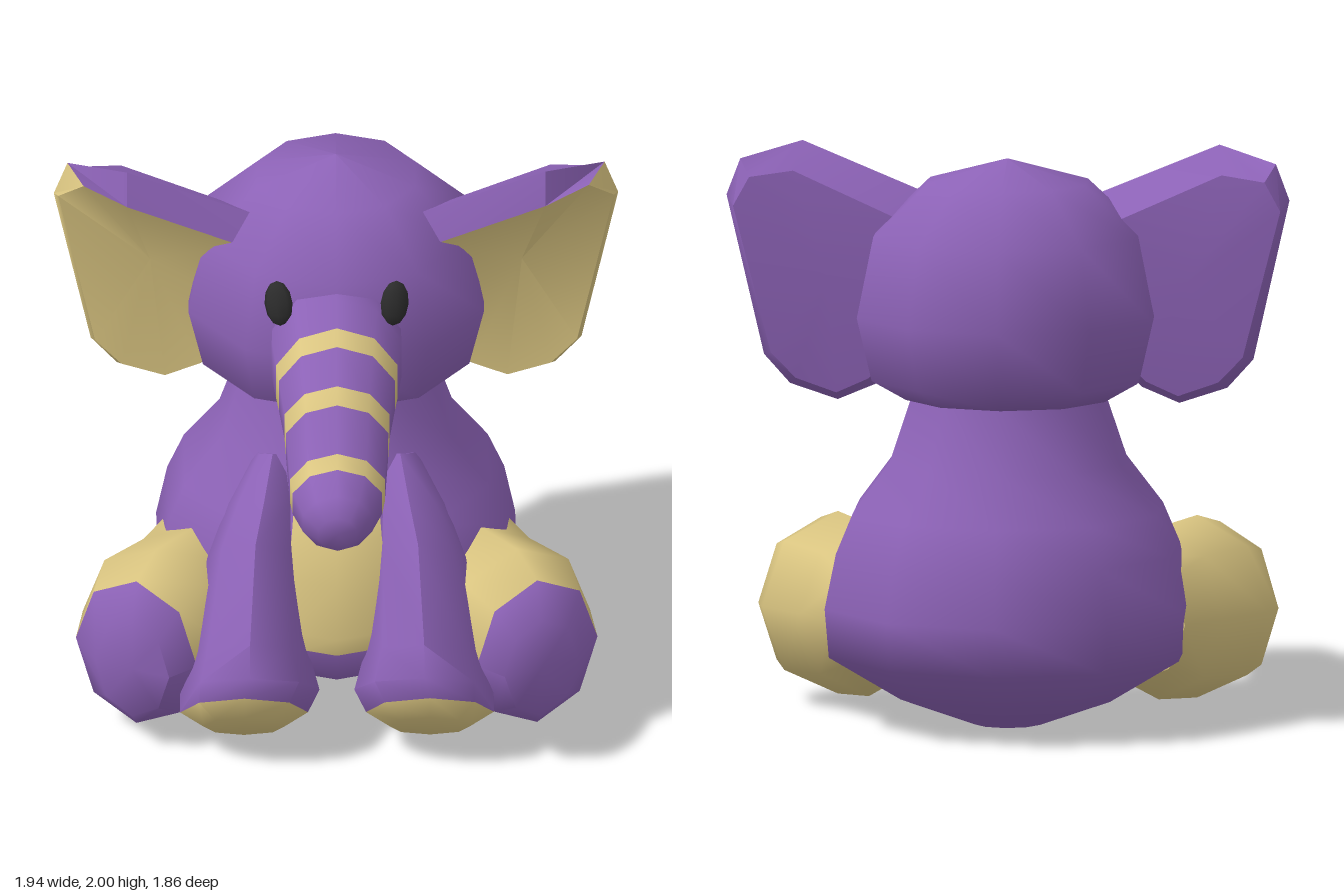
import * as THREE from 'three';
import { toCreasedNormals } from 'three/addons/utils/BufferGeometryUtils.js';

const V = (x, y, z) => new THREE.Vector3(x, y, z);
const PURPLE = 0, TAN = 1;

function material(name, color) {
  const m = new THREE.MeshStandardMaterial({ color });
  m.name = name;
  return m;
}

// Closed skin over rings of points; colour(band, segment) picks the material
// (band -1 is the start cap, the last band is the end cap).
function loft(rings, colour, startTip, endTip, crease = 1) {
  const n = rings[0].length, pts = rings.flat(), faces = [[], []];
  const mean = r => r.reduce((a, p) => a.add(p), V(0, 0, 0)).divideScalar(n);
  const last = rings.length - 1, s = pts.length, e = s + 1;
  pts.push(startTip || mean(rings[0]), endTip || mean(rings[last]));
  for (let j = 0; j < n; j++) {
    const k = (j + 1) % n;
    faces[colour(-1, j)].push([s, k, j]);
    faces[colour(last, j)].push([e, last * n + j, last * n + k]);
    for (let i = 0; i < last; i++) {
      const a = i * n + j, b = i * n + k;
      faces[colour(i, j)].push([a, b, b + n], [a, b + n, a + n]);
    }
  }
  // Signed volume tells whether the faces point outwards
  let volume = 0;
  for (const [a, b, c] of faces.flat()) {
    volume += pts[a].dot(V(0, 0, 0).crossVectors(pts[b], pts[c]));
  }
  if (volume < 0) faces.flat().forEach(f => f.reverse());
  const geo = new THREE.BufferGeometry().setFromPoints(pts);
  geo.setIndex(faces.flat(2));
  geo.addGroup(0, faces[0].length * 3, 0);
  geo.addGroup(faces[0].length * 3, faces[1].length * 3, 1);
  return toCreasedNormals(geo, crease);
}

// Elliptic ring around centre c with half axes u and v
function ring(c, u, v, sides) {
  return Array.from({ length: sides }, (_, i) => {
    const a = i / sides * Math.PI * 2;
    return c.clone().addScaledVector(u, Math.cos(a)).addScaledVector(v, Math.sin(a));
  });
}

// Ring given by its upper and lower side-view points, middle x and half width
function sideRing([zt, yt, zb, yb, rx, x = 0], sides) {
  return ring(V(x, (yt + yb) / 2, (zt + zb) / 2),
    V(0, (yt - yb) / 2, (zt - zb) / 2), V(rx, 0, 0), sides);
}

export function createModel() {
  const group = new THREE.Group();
  const purple = material('purple plush', 0x8c62b6);
  const tan = material('tan plush', 0xdac581);
  const dark = material('dark eye', 0x2c2c2c);
  const both = [purple, tan];
  const add = (name, geo, mat) => {
    const mesh = new THREE.Mesh(geo, mat);
    mesh.name = name;
    group.add(mesh);
    return mesh;
  };
  const mirrored = (rings, s) => rings.map(r => r.map(p => V(p.x * s, p.y, p.z)));
  const lathe = profile => new THREE.LatheGeometry(
    profile.map(p => new THREE.Vector2(...p)), 10);

  // Body
  const bodyZ = -0.28;
  const bodyProfile = [[0, 0], [0.12, 0], [0.38, 0.095], [0.635, 0.25], [0.65, 0.42],
    [0.61, 0.61], [0.55, 0.75], [0.42, 0.92], [0.345, 1.14], [0.33, 1.2]];
  add('body', lathe(bodyProfile), purple).position.z = bodyZ;

  // Head
  const head = add('head', lathe([[0, 1.14], [0.34, 1.14], [0.455, 1.21], [0.505, 1.43],
    [0.45, 1.71], [0.27, 1.89], [0, 1.97]]), purple);
  head.position.z = -0.3;
  head.scale.x = 1.06;

  // Belly patch follows the front facets of the body
  const radiusAt = y => {
    const i = bodyProfile.findIndex((p, k) => k > 1 && p[1] >= y);
    const [r0, y0] = bodyProfile[i - 1], [r1, y1] = bodyProfile[i];
    return r0 + (r1 - r0) * (y - y0) / (y1 - y0);
  };
  const rows = [[0.355, 0.12], [0.42, 0.17], [0.61, 0.17], [0.75, 0.155], [0.82, 0.148], [0.865, 0.07]];
  const patchPoints = [], patchIndex = [];
  rows.forEach(([y, w], i) => {
    for (const x of [-w, 0, w]) {
      patchPoints.push(V(x, y, bodyZ + radiusAt(y) - Math.abs(x) * Math.tan(Math.PI / 10) + 0.006));
    }
    if (i) for (const k of [3 * i - 3, 3 * i - 2]) patchIndex.push(k, k + 1, k + 4, k, k + 4, k + 3);
  });
  const patch = new THREE.BufferGeometry().setFromPoints(patchPoints);
  patch.setIndex(patchIndex);
  patch.computeVertexNormals();
  add('bellyPatch', patch, tan);

  // Striped trunk
  const trunk = [[0.05, 1.69, 0.05, 1.21, 0.23], [0.19, 1.68, 0.186, 1.205, 0.235],
    [0.305, 1.635, 0.305, 1.205, 0.22], [0.38, 1.605, 0.375, 1.21, 0.21],
    [0.525, 1.535, 0.46, 1.17, 0.19], [0.594, 1.5, 0.53, 1.14, 0.185],
    [0.71, 1.375, 0.66, 1.05, 0.172], [0.775, 1.35, 0.727, 1.05, 0.162],
    [0.886, 1.31, 0.83, 1.06, 0.125], [0.934, 1.25, 0.91, 1.106, 0.07]];
  add('trunk', loft(trunk.map(r => sideRing(r, 10)),
    i => [2, 4, 6].includes(i) ? TAN : PURPLE), both);

  // Front legs with tan soles
  const arm = [[0.06, 0.98, -0.1, 0.9, 0.06, 0.22], [0.2, 0.87, -0.1, 0.68, 0.125, 0.25],
    [0.32, 0.77, -0.05, 0.45, 0.165, 0.28], [0.54, 0.5, 0.08, 0.16, 0.205, 0.3],
    [0.595, 0.4, 0.2, 0.07, 0.24, 0.3], [0.612, 0.33, 0.3, 0.03, 0.22, 0.32],
    [0.575, 0.23, 0.4, 0.055, 0.14, 0.32]].map(r => sideRing(r, 8));

  // Hind legs point forwards and outwards
  const across = V(0.905, 0, -0.425);
  const leg = [[0.42, 0.36, -0.28, 0.22, 0.22], [0.5, 0.345, 0.0, 0.255, 0.3],
    [0.62, 0.345, 0.17, 0.28, 0.318], [0.69, 0.335, 0.31, 0.23, 0.285],
    [0.705, 0.325, 0.405, 0.14, 0.19]].map(([x, y, z, rs, rv]) =>
    ring(V(x, y, z), V(0, rv, 0), across.clone().multiplyScalar(rs), 8));

  // Ears: front loop, rim and back loop, with the top edge folded forward
  const earFront = [[0.33, 1.73, -0.09], [0.72, 1.885, -0.09], [0.87, 1.94, -0.14],
    [0.957, 1.84, -0.24], [0.83, 1.28, -0.205], [0.74, 1.185, -0.205],
    [0.59, 1.135, -0.21], [0.47, 1.185, -0.205], [0.28, 1.38, -0.2]];
  const earRim = [[0.28, 1.82, -0.15], [0.72, 2.0, -0.13], [0.925, 1.955, -0.27],
    [0.972, 1.83, -0.275], [0.845, 1.27, -0.24], [0.755, 1.17, -0.24],
    [0.59, 1.117, -0.25], [0.46, 1.17, -0.24], [0.27, 1.37, -0.24]];
  const earBack = [[0.38, 1.76, -0.33], [0.74, 1.92, -0.31], [0.89, 1.9, -0.335],
    [0.945, 1.8, -0.34], [0.815, 1.29, -0.335], [0.73, 1.2, -0.32],
    [0.59, 1.15, -0.315], [0.48, 1.2, -0.32], [0.28, 1.4, -0.33]];
  const ear = [earFront, earRim, earBack].map(loop => loop.map(p => V(...p)));
  const earColour = (i, j) => i === -1 || (i === 0 && j >= 2 && j < 8) ? TAN : PURPLE;

  for (const [side, s] of [['left', 1], ['right', -1]]) {
    add(side + 'FrontLeg', loft(mirrored(arm, s), i => i >= 5 ? TAN : PURPLE), both);
    add(side + 'HindLeg', loft(mirrored(leg, s), i => i >= 3 ? PURPLE : TAN), both);
    add(side + 'Ear', loft(mirrored(ear, s), earColour,
      V(0.64 * s, 1.6, -0.215), V(0.62 * s, 1.55, -0.345), 0.7), both);

    // Eye
    const eye = add(side + 'Eye', new THREE.SphereGeometry(1, 8, 6), dark);
    eye.scale.set(0.05, 0.08, 0.028);
    eye.position.set(0.2 * s, 1.645, 0.155);
    eye.rotation.set(-0.28, 0.25 * s, -0.08 * s);
  }
  return group;
}
